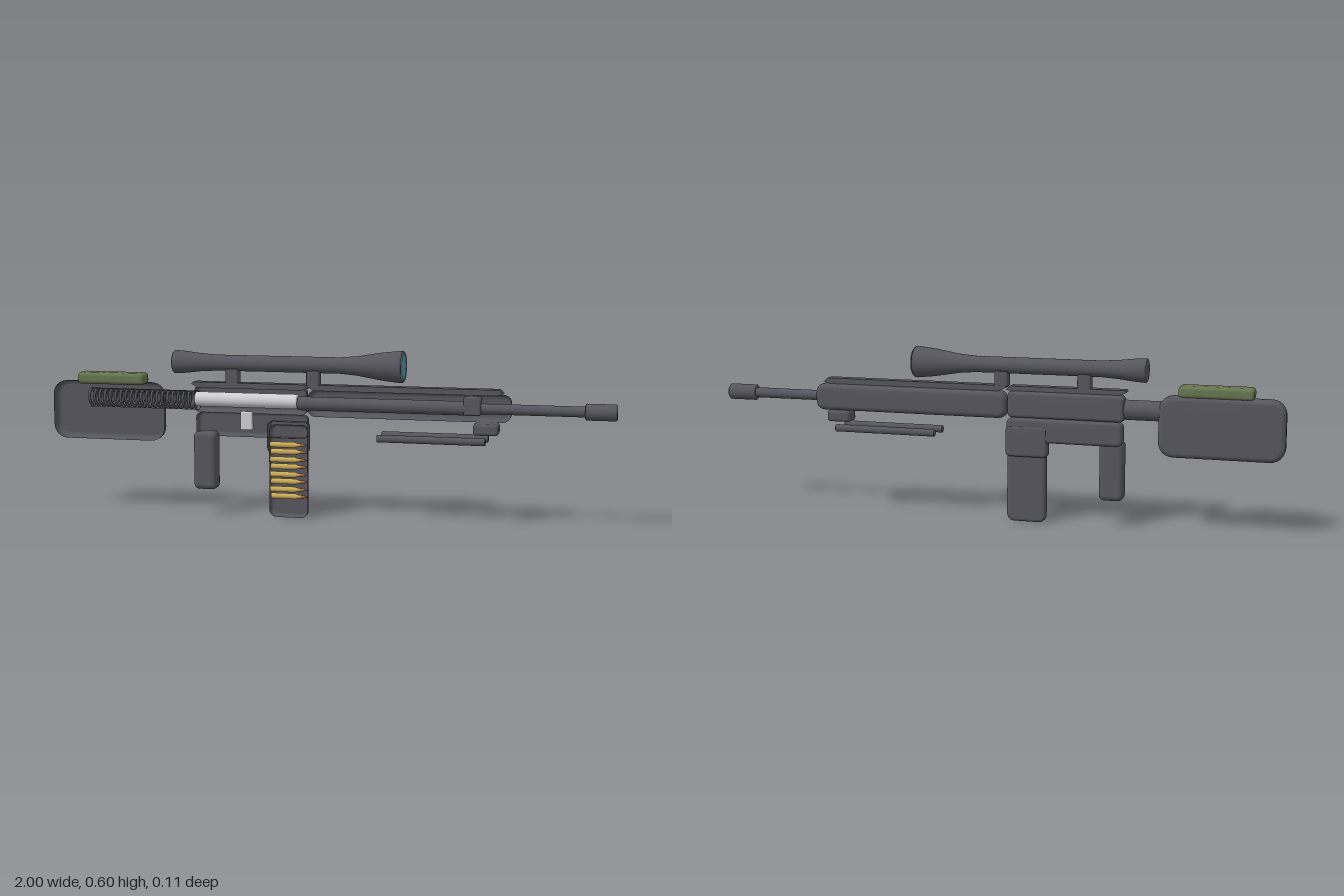
import * as THREE from 'three';
import { RoundedBoxGeometry } from 'three/addons/geometries/RoundedBoxGeometry.js';

const paint = (name, color, side = THREE.FrontSide) => {
  const m = new THREE.MeshStandardMaterial({ color, side });
  m.name = name;
  return m;
};

// Corner points of a rounded rectangle, counter-clockwise
function roundedRect(x0, x1, y0, y1, r, n = 6) {
  const corners = [[x1 - r, y0 + r, -90], [x1 - r, y1 - r, 0], [x0 + r, y1 - r, 90], [x0 + r, y0 + r, 180]];
  const pts = [];
  for (const [cx, cy, start] of corners) {
    for (let i = 0; i <= n; i++) {
      const a = THREE.MathUtils.degToRad(start + (90 * i) / n);
      pts.push([cx + r * Math.cos(a), cy + r * Math.sin(a)]);
    }
  }
  return pts;
}

// Hollow half casing: open at z = 0, rounded over to a flat wall at z = -depth
function halfShell(x0, x1, y0, y1, depth, r, bevel) {
  const rings = [[0, 0]];
  for (let i = 0; i <= 5; i++) {
    const a = (i / 5) * Math.PI / 2;
    rings.push([bevel * (1 - Math.cos(a)), -depth + bevel * (1 - Math.sin(a))]);
  }
  const pos = [], idx = [];
  let n = 0;
  for (const [inset, z] of rings) {
    const pts = roundedRect(x0 + inset, x1 - inset, y0 + inset, y1 - inset, Math.max(r - inset, 0.002));
    n = pts.length;
    for (const [x, y] of pts) pos.push(x, y, z);
  }
  const centre = pos.length / 3, last = (rings.length - 1) * n;
  pos.push((x0 + x1) / 2, (y0 + y1) / 2, -depth);
  for (let j = 0; j < n; j++) {
    const k = (j + 1) % n;
    for (let i = 0; i < rings.length - 1; i++) {
      const a = i * n + j, b = i * n + k, c = a + n, d = b + n;
      idx.push(a, c, b, b, c, d);
    }
    idx.push(last + j, centre, last + k);
  }
  const g = new THREE.BufferGeometry();
  g.setAttribute('position', new THREE.Float32BufferAttribute(pos, 3));
  g.setIndex(idx);
  g.computeVertexNormals();
  return g;
}

// Turned part along x from [x, radius] pairs
function turned(profile, sides = 28) {
  const g = new THREE.LatheGeometry(profile.map(([x, r]) => new THREE.Vector2(r, x)), sides);
  return g.rotateZ(-Math.PI / 2);
}
const rod = (x0, x1, r, sides) => {
  const b = r * 0.15;
  return turned([[x0, 0], [x0, r - b], [x0 + b, r], [x1 - b, r], [x1, r - b], [x1, 0]], sides);
};

const roundBox = (x0, x1, y0, y1, z0, z1, r) =>
  new RoundedBoxGeometry(x1 - x0, y1 - y0, z1 - z0, 3, r)
    .translate((x0 + x1) / 2, (y0 + y1) / 2, (z0 + z1) / 2);

class Helix extends THREE.Curve {
  constructor(x0, x1, y, r, turns) {
    super();
    Object.assign(this, { x0, x1, y, r, turns });
  }
  getPoint(t, target = new THREE.Vector3()) {
    const a = t * this.turns * Math.PI * 2;
    return target.set(this.x0 + (this.x1 - this.x0) * t, this.y + this.r * Math.cos(a), this.r * Math.sin(a));
  }
}

export function createModel() {
  const model = new THREE.Group();
  model.name = 'cutawayRifle';
  const gunmetal = paint('gunmetal', 0x56555d);
  const casing = paint('casing grey', 0x56555d, THREE.DoubleSide);
  const steel = paint('bright steel', 0xcfcfd3);
  const olive = paint('olive', 0x65744f);
  const glass = paint('lens blue', 0x5f93a4);
  const brass = paint('brass', 0xcbab58);
  const copper = paint('copper', 0xad6f35);
  const add = (name, geometry, material, y = 0, z = 0) => {
    const m = new THREE.Mesh(geometry, material);
    m.name = name;
    m.position.set(0, y, z);
    model.add(m);
    return m;
  };
  const AXIS = 0.408;

  // Sectioned casings
  add('stock', halfShell(-1, -0.58, 0.257, 0.465, 0.036, 0.05, 0.018), casing);
  add('upperReceiver', halfShell(-0.465, -0.06, 0.368, 0.458, 0.04, 0.015, 0.012), casing);
  add('lowerReceiver', halfShell(-0.46, -0.055, 0.283, 0.366, 0.036, 0.02, 0.012), casing);
  add('magazineWell', halfShell(-0.2, -0.053, 0.232, 0.34, 0.038, 0.014, 0.01), casing);
  add('magazine', halfShell(-0.193, -0.055, 0.002, 0.33, 0.026, 0.025, 0.012), casing);
  add('handguard', halfShell(-0.055, 0.65, 0.362, 0.455, 0.042, 0.03, 0.018), casing);

  // Half tube behind the spring
  const tube = new THREE.CylinderGeometry(0.034, 0.034, 0.41, 16, 1, true, Math.PI / 2, Math.PI);
  add('bufferTube', tube.rotateZ(-Math.PI / 2).translate(-0.655, 0, 0), casing, AXIS);
  add('recoilSpring', new THREE.TubeGeometry(new Helix(-0.855, -0.465, AXIS, 0.027, 20), 400, 0.005, 6), gunmetal);

  // Bolt, barrel and muzzle
  add('bolt', rod(-0.46, -0.088, 0.026), steel, 0.413);
  add('barrelBase', rod(-0.088, 0.5, 0.024), gunmetal, AXIS);
  add('barrel', rod(0.48, 0.91, 0.018), gunmetal, AXIS);
  add('muzzle', rod(0.895, 1, 0.028), gunmetal, AXIS);
  add('gasBlock', roundBox(0.49, 0.55, 0.385, 0.45, -0.022, 0.023, 0.008), gunmetal);

  // Top rails with slanted ends
  for (const [x0, x1] of [[-0.47, -0.05], [-0.05, 0.625]]) {
    const s = new THREE.Shape();
    s.moveTo(x0 + 0.025, 0.455);
    s.lineTo(x1 - 0.025, 0.455);
    s.lineTo(x1, 0.462);
    s.lineTo(x1 - 0.015, 0.475);
    s.lineTo(x0 + 0.005, 0.475);
    s.lineTo(x0, 0.468);
    add('rail', new THREE.ExtrudeGeometry(s, { depth: 0.04, bevelEnabled: false }), gunmetal, 0, -0.02);
  }

  // Grip, trigger and cheek pad
  add('grip', roundBox(-0.463, -0.38, 0.094, 0.3, -0.03, 0.033, 0.018), gunmetal);
  add('trigger', roundBox(-0.295, -0.252, 0.308, 0.374, -0.01, 0.01, 0.005), steel);
  add('cheekPad', roundBox(-0.895, -0.645, 0.458, 0.5, -0.033, 0.033, 0.014), olive);

  // Scope
  const SCOPE = 0.543;
  add('scopeBody', turned([[-0.537, 0], [-0.537, 0.038], [-0.533, 0.041], [-0.5, 0.039], [-0.44, 0.032],
    [-0.38, 0.028], [0.06, 0.028], [0.12, 0.033], [0.21, 0.048], [0.275, 0.055], [0.281, 0.054], [0.281, 0]], 36),
  gunmetal, SCOPE);
  add('scopeLens', rod(0.278, 0.284, 0.05, 36), glass, SCOPE);
  for (const x of [-0.323, -0.032]) {
    add('scopeMount', roundBox(x - 0.023, x + 0.023, 0.47, 0.535, -0.02, 0.02, 0.006), gunmetal);
  }

  // Folded bipod
  add('bipodMount', roundBox(0.525, 0.61, 0.32, 0.36, -0.032, 0.033, 0.01), gunmetal);
  for (const side of [-1, 1]) add('bipodLeg', rod(0.2, 0.57, 0.013, 16), gunmetal, 0.301, side * 0.043);

  // Cartridges staggered in two columns
  for (let i = 0; i < 8; i++) {
    const y = 0.262 - i * 0.0263, z = i % 2 ? -0.002 : 0.009;
    add('cartridgeCase', turned([[-0.186, 0], [-0.186, 0.01], [-0.098, 0.01], [-0.088, 0.006], [-0.08, 0.006]], 14), brass, y, z);
    add('cartridgeTip', turned([[-0.081, 0.006], [-0.068, 0.005], [-0.057, 0.002], [-0.053, 0]], 14), copper, y, z);
  }
  return model;
}
